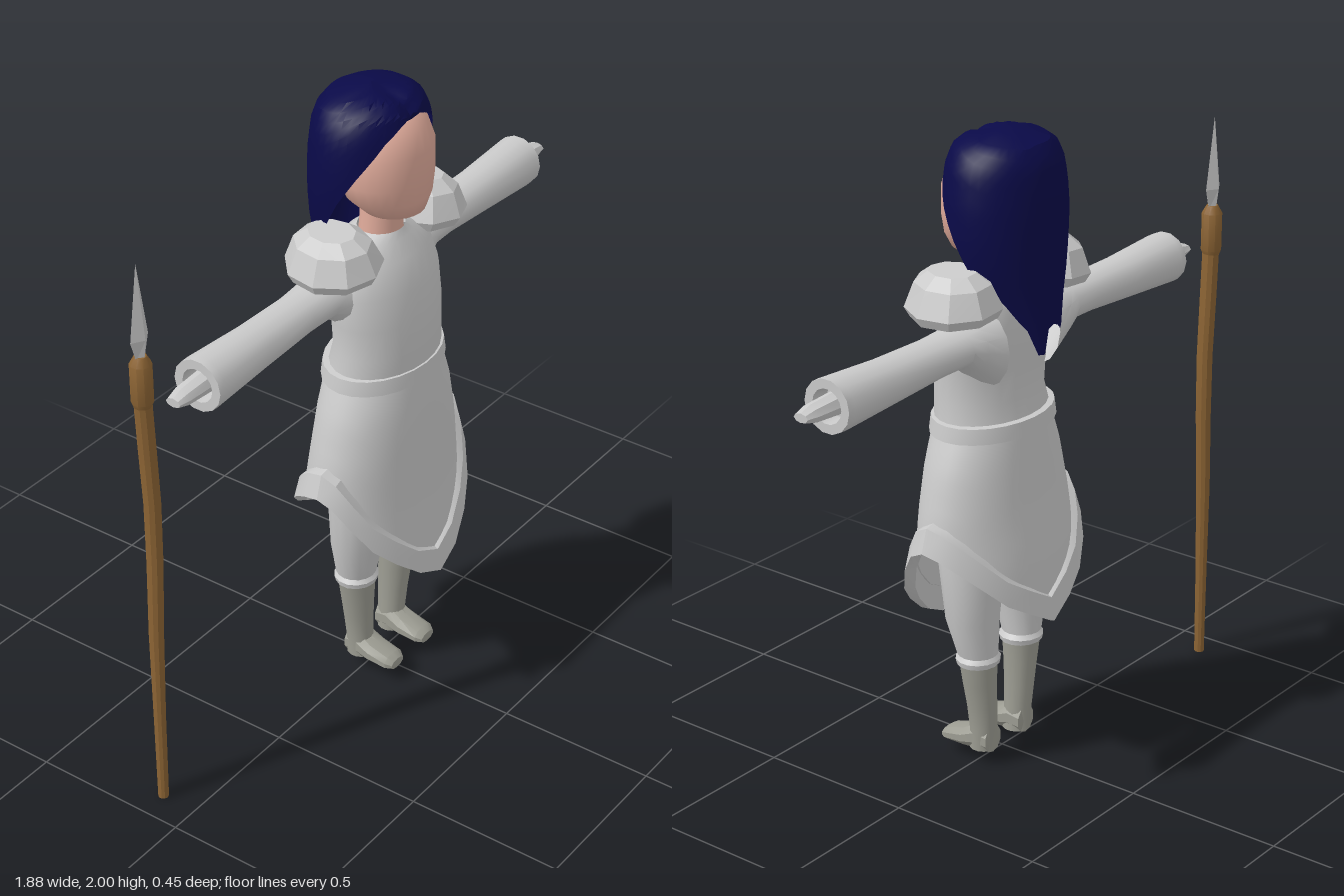
import * as THREE from 'three';
import { toCreasedNormals } from 'three/addons/utils/BufferGeometryUtils.js';

const material = (name, color, double) => {
  const m = new THREE.MeshStandardMaterial({ color });
  m.name = name;
  if (double) m.side = THREE.DoubleSide;
  return m;
};

// Closed surface: point(a, v) with a = angle from the front, v = row from top to bottom
function sweep(point, sides, rows, crease = 0.6) {
  const pos = [], idx = [];
  for (let j = 0; j <= rows; j++)
    for (let i = 0; i < sides; i++) pos.push(...point((i / sides) * Math.PI * 2, j));
  for (let j = 0; j < rows; j++)
    for (let i = 0; i < sides; i++) {
      const k = (i + 1) % sides, a = j * sides + i, b = j * sides + k;
      idx.push(a, a + sides, b, b, a + sides, b + sides);
    }
  const g = new THREE.BufferGeometry();
  g.setAttribute('position', new THREE.Float32BufferAttribute(pos, 3));
  g.setIndex(idx);
  return toCreasedNormals(g, crease);
}

// Stacked elliptical rings, top to bottom: [y, rx, rz, cx, cz]
const rings = (list, sides = 20, crease = 0.6) => sweep((a, j) => {
  const [y, rx, rz, cx = 0, cz = 0] = list[j];
  return [cx + rx * Math.sin(a), y, cz + rz * Math.cos(a)];
}, sides, list.length - 1, crease);

// Linear lookup in a table of [key, value...], keys ascending
function look(table, key, col = 1) {
  if (key <= table[0][0]) return table[0][col];
  for (let i = 1; i < table.length; i++) {
    const p = table[i - 1], q = table[i];
    if (key <= q[0]) return p[col] + ((q[col] - p[col]) * (key - p[0])) / (q[0] - p[0]);
  }
  return table[table.length - 1][col];
}

// Degrees away from the front, 0 to 180 on both sides
const fromFront = (a) => Math.abs((((a * 180) / Math.PI + 180) % 360) - 180);

// Skirt: half width, front depth and back depth by height; hem height by angle
const skirtSize = [[0.4, 0.32, 0.2, 0.22], [0.7, 0.3, 0.175, 0.2], [0.85, 0.285, 0.17, 0.175],
  [1, 0.25, 0.165, 0.16], [1.11, 0.205, 0.155, 0.15]];
const hem = [[0, 0.41], [15, 0.45], [30, 0.52], [45, 0.59], [60, 0.68], [75, 0.75], [90, 0.775],
  [110, 0.755], [130, 0.69], [150, 0.6], [180, 0.5]];
function skirtPoint(a, y, out = 0) {
  const s = Math.sin(a), c = Math.cos(a);
  const rz = look(skirtSize, y, c > 0 ? 2 : 3);
  return [s * (look(skirtSize, y) + out), y, 0.01 + c * (rz + out * 0.4)];
}

// Hair: scale by height, lower edge by angle
const hairSize = [[1.36, 0.55, 1.06], [1.5, 0.75, 1.02], [1.6, 0.93, 1], [1.7, 1, 1], [1.8, 1, 0.99],
  [1.9, 0.93, 0.93], [1.95, 0.8, 0.84], [1.98, 0.58, 0.64], [2, 0, 0]];
const hairEdge = [[0, 1.945], [20, 1.92], [35, 1.89], [60, 1.8], [80, 1.71], [100, 1.6],
  [118, 1.54], [140, 1.46], [160, 1.42], [180, 1.43]];
function hairPoint(a, j) {
  const d = fromFront(a), s = Math.sin(a), c = Math.cos(a);
  let edge = look(hairEdge, d);
  if (d > 110) edge += 0.015 * Math.sin(d * 1.3);
  if (d > 145 && d < 168 && s > 0) edge = 1.36;
  const y = 2 - (2 - edge) * Math.pow(j / 12, 1.6);
  const x = 0.205 * s * look(hairSize, y, 1);
  const part = j < 12 && c > -0.3 ? 0.03 * Math.exp(-((x / 0.03) ** 2)) * (j / 12) : 0;
  return [x, y - part, -0.035 + 0.17 * c * look(hairSize, y, 2)];
}

export function createModel() {
  const cloth = material('pale grey cloth', 0xcacaca, true);
  const boot = material('grey boot leather', 0x9d9d93);
  const skin = material('skin', 0xe0ab9b);
  const hairColor = material('navy hair', 0x0a0a48, true);
  const wood = material('brown wood', 0x8c6434);
  const steel = material('steel', 0xc6c6c6);

  const model = new THREE.Group();
  const body = new THREE.Group();
  body.name = 'body';
  body.position.x = 0.03;
  model.add(body);
  const add = (parent, name, geometry, mat) => {
    const mesh = new THREE.Mesh(geometry, mat);
    mesh.name = name;
    parent.add(mesh);
    return mesh;
  };

  // Head, neck and hair
  add(body, 'head', rings([[1.95, 0, 0, 0, 0.02], [1.94, 0.08, 0.07, 0, 0.02], [1.9, 0.125, 0.11, 0, 0.02],
    [1.83, 0.152, 0.13, 0, 0.02], [1.74, 0.155, 0.13, 0, 0.02], [1.68, 0.135, 0.122, 0, 0.026],
    [1.635, 0.095, 0.092, 0, 0.045], [1.615, 0.05, 0.05, 0, 0.055], [1.61, 0, 0, 0, 0.055]], 24, 1), skin);
  add(body, 'neck', rings([[1.68, 0.065, 0.06], [1.6, 0.066, 0.06], [1.5, 0.075, 0.065]], 16), skin);
  add(body, 'hair', sweep(hairPoint, 40, 12, 0.5), hairColor);

  // Tunic, belt and skirt
  add(body, 'tunic', rings([[1.56, 0.075, 0.068], [1.535, 0.13, 0.09, 0, -0.01], [1.49, 0.185, 0.112],
    [1.4, 0.205, 0.13, 0, 0.012], [1.3, 0.202, 0.137, 0, 0.02], [1.2, 0.195, 0.138, 0, 0.024],
    [1.1, 0.21, 0.148, 0, 0.01]], 24, 1), cloth);
  add(body, 'belt', rings([[1.145, 0.195, 0.135, 0, 0.012], [1.142, 0.22, 0.155, 0, 0.01],
    [1.095, 0.227, 0.16, 0, 0.01], [1.09, 0.2, 0.14, 0, 0.01]], 24), cloth);
  add(body, 'skirt', sweep((a, j) => {
    const low = look(hem, fromFront(a));
    return skirtPoint(a, 1.11 + (low - 1.11) * (j / 8));
  }, 48, 8, 1), cloth);
  const bandProfile = [[-0.005, 0.085], [0.03, 0.078], [0.045, 0.004], [-0.005, 0]];
  add(body, 'hemBand', sweep((a, j) => {
    const [out, up] = bandProfile[j];
    return skirtPoint(a, look(hem, fromFront(a)) + up, out);
  }, 24, 3, 0.5), cloth);

  for (const side of [1, -1]) {
    const half = new THREE.Group();
    half.name = side > 0 ? 'leftLimbs' : 'rightLimbs';
    half.scale.x = side;
    body.add(half);

    // Sleeve with open cuff, and hand, lying along x
    const arm = new THREE.Group();
    arm.name = 'arm';
    arm.position.set(0, 1.4, -0.045);
    arm.rotation.z = -Math.PI / 2;
    half.add(arm);
    add(arm, 'sleeve', rings([[0.74, 0, 0], [0.74, 0.048, 0.048], [0.795, 0.052, 0.052], [0.795, 0.08, 0.08],
      [0.77, 0.08, 0.081], [0.55, 0.067, 0.072], [0.35, 0.058, 0.07, -0.005], [0.25, 0.058, 0.078, -0.008],
      [0.2, 0.08, 0.09, 0.005], [0.12, 0.12, 0.1, 0.03]], 14), cloth);
    add(arm, 'hand', rings([[0.9, 0, 0], [0.9, 0.014, 0.025], [0.86, 0.027, 0.032],
      [0.74, 0.036, 0.036]], 8, 0.4), cloth);

    // Faceted shoulder guard
    const guard = add(half, 'shoulderGuard', rings([[0.12, 0, 0], [0.12, 0.06, 0.075], [0.088, 0.1, 0.12],
      [0.015, 0.138, 0.148], [-0.015, 0.125, 0.13], [0.03, 0.08, 0.09]], 9, 0.1), cloth);
    guard.position.set(0.208, 1.505, -0.015);
    guard.rotation.z = -0.08;

    // Trouser leg with cuff
    add(half, 'trouserLeg', rings([[0.95, 0.11, 0.11, 0.1], [0.7, 0.105, 0.103, 0.108, 0.005],
      [0.5, 0.088, 0.078, 0.117, -0.003], [0.38, 0.063, 0.062, 0.108, -0.015]], 16, 1), cloth);
    add(half, 'trouserCuff', rings([[0.385, 0.055, 0.055, 0.106, -0.015], [0.365, 0.072, 0.068, 0.106, -0.015],
      [0.348, 0.068, 0.064, 0.106, -0.015], [0.343, 0.045, 0.045, 0.106, -0.015]], 14), cloth);

    // Boot
    add(half, 'bootShaft', rings([[0.36, 0.06, 0.06, 0.106, -0.015], [0.28, 0.053, 0.053, 0.1, -0.016],
      [0.2, 0.046, 0.048, 0.092, -0.018], [0.12, 0.042, 0.044, 0.085, -0.018],
      [0.05, 0.044, 0.044, 0.082, -0.016]], 14), boot);
    const foot = add(half, 'bootFoot', rings([[0.125, 0, 0, 0, -0.06], [0.124, 0.032, 0.016, 0, -0.058],
      [0.105, 0.046, 0.025, 0, -0.064], [0.04, 0.049, 0.036, 0, -0.075], [-0.01, 0.045, 0.052, 0, -0.091],
      [-0.052, 0.04, 0.045, 0, -0.084], [-0.06, 0, 0, 0, -0.08]], 10, 0.5), boot);
    foot.rotation.x = Math.PI / 2;
    foot.position.x = 0.082;
  }

  // Spear with a slightly bent shaft
  const spear = new THREE.Group();
  spear.name = 'spear';
  spear.position.set(-0.91, 0, -0.118);
  model.add(spear);
  add(spear, 'shaft', rings([[1.42, 0.026, 0.026], [1.25, 0.026, 0.026, 0.008], [1.05, 0.025, 0.025, 0.018],
    [0.85, 0.024, 0.024, 0.016], [0.6, 0.022, 0.022, 0.006], [0.3, 0.018, 0.018, 0.002],
    [0, 0.016, 0.016], [0, 0, 0]], 10), wood);
  add(spear, 'grip', rings([[1.545, 0, 0], [1.545, 0.018, 0.018], [1.52, 0.032, 0.032], [1.4, 0.032, 0.032],
    [1.385, 0.026, 0.026]], 10), wood);
  add(spear, 'blade', rings([[1.83, 0, 0], [1.6, 0.037, 0.022], [1.535, 0.017, 0.014]], 4, 0.1), steel);

  return model;
}
